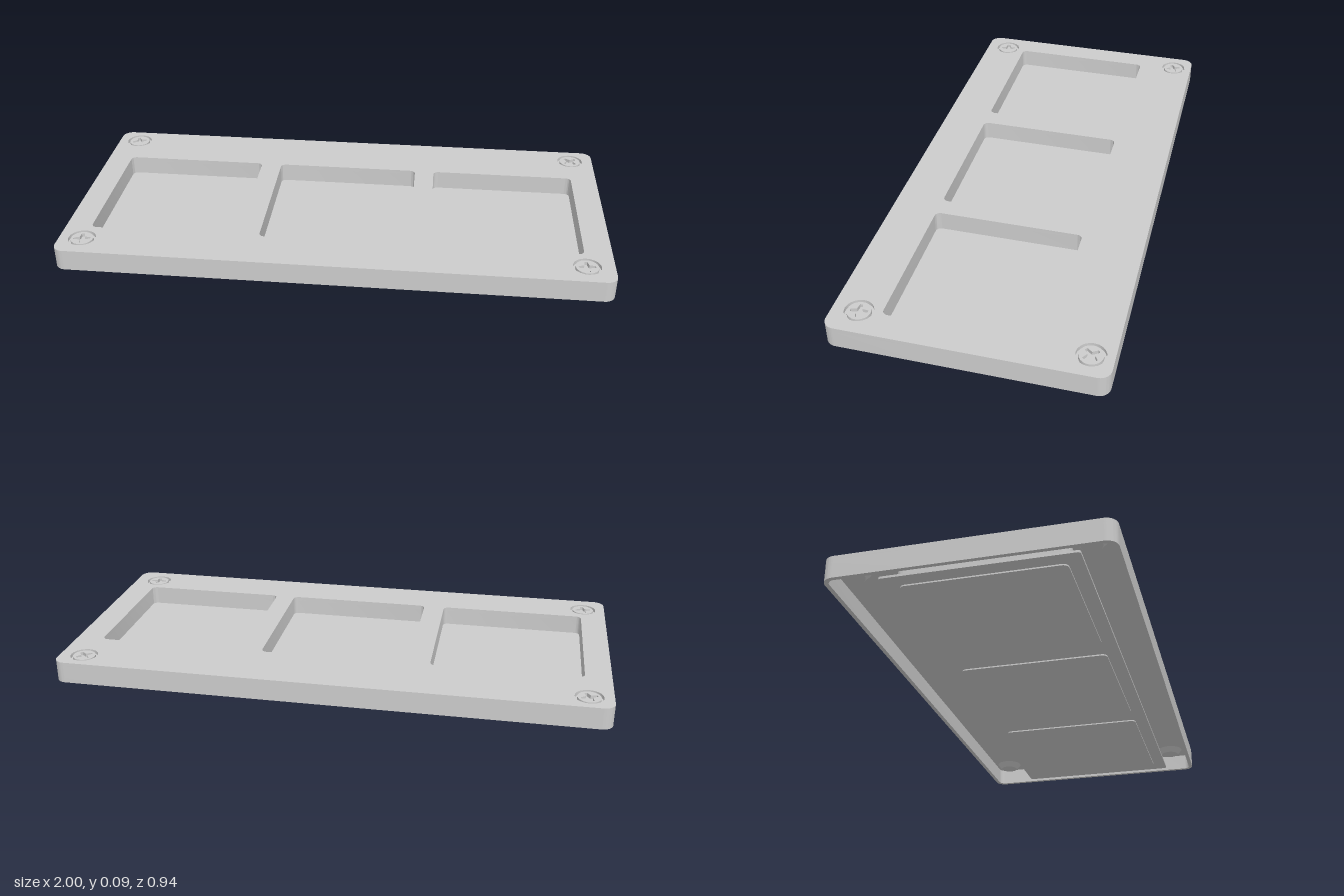
import * as THREE from 'three';
import { toCreasedNormals } from 'three/addons/utils/BufferGeometryUtils.js';

const TOP = 0.085, UNDER = 0.07, RIM = 0.005, FLOOR = 0.013;
const PLAN_Z = 0.472;
const POCKET = 0.55, POCKET_Z = 0.028;
const pocketXs = [-0.63, 0, 0.625];
// screw positions in plan, with the turn of each cross slot
const screws = [[-0.915, -0.395, 0.4], [0.91, -0.395, 0.75], [-0.915, 0.38, 0.15], [0.902, 0.38, 0.1]];

// rounded rectangle in plan; shape y is -z
function roundedRect(w, d, r, x = 0, z = 0, Type = THREE.Shape) {
  const s = new Type(), a = w / 2 - r, b = d / 2 - r, y = -z, h = Math.PI / 2;
  s.moveTo(x + w / 2, y - b);
  s.absarc(x + a, y + b, r, 0, h);
  s.absarc(x - a, y + b, r, h, 2 * h);
  s.absarc(x - a, y - b, r, 2 * h, 3 * h);
  s.absarc(x + a, y - b, r, 3 * h, 4 * h);
  s.closePath();
  return s;
}

function circle(r, x = 0, z = 0, Type = THREE.Path) {
  const s = new Type();
  s.absarc(x, -z, r, 0, Math.PI * 2);
  return s;
}

// upright slab of a plan shape between two heights
function slab(shape, y0, y1) {
  const g = new THREE.ExtrudeGeometry(shape, { depth: y1 - y0, bevelEnabled: false, curveSegments: 10 });
  g.rotateX(-Math.PI / 2).translate(0, y0, 0);
  return toCreasedNormals(g, 0.6);
}

// four-armed slot outline with slightly tapered arms
function crossPath() {
  const pts = [];
  for (let i = 0; i < 4; i++) {
    for (const [u, v] of [[0.009, -0.009], [0.03, -0.005], [0.03, 0.005]]) {
      const c = Math.cos(i * Math.PI / 2), s = Math.sin(i * Math.PI / 2);
      pts.push(new THREE.Vector2(u * c - v * s, u * s + v * c));
    }
  }
  return new THREE.Path(pts);
}

export function createModel() {
  const group = new THREE.Group();
  const grey = new THREE.MeshStandardMaterial({ color: 0xcccccc });
  grey.name = 'light grey';
  const add = (name, geometry, parent = group) => {
    const m = new THREE.Mesh(geometry, grey);
    m.name = name;
    parent.add(m);
    return m;
  };

  // top panel with pocket openings and screw holes
  const top = roundedRect(2, PLAN_Z * 2, 0.04);
  pocketXs.forEach(x => top.holes.push(roundedRect(POCKET, POCKET, 0.02, x, POCKET_Z, THREE.Path)));
  screws.forEach(([x, z]) => top.holes.push(circle(0.05, x, z)));
  add('topPanel', slab(top, UNDER, TOP));

  // hollow outer wall
  const wall = roundedRect(2, PLAN_Z * 2, 0.04);
  wall.holes.push(roundedRect(1.97, PLAN_Z * 2 - 0.03, 0.025, 0, 0, THREE.Path));
  add('outerWall', slab(wall, RIM, UNDER));

  // backing plate under all pockets
  add('backingPlate', slab(roundedRect(1.915, 0.65, 0.01, 0, POCKET_Z), RIM, FLOOR));

  // pocket walls and the raised tile beneath each pocket
  for (const x of pocketXs) {
    const ring = roundedRect(POCKET + 0.02, POCKET + 0.02, 0.03, x, POCKET_Z);
    ring.holes.push(roundedRect(POCKET, POCKET, 0.02, x, POCKET_Z, THREE.Path));
    add('pocketWall', slab(ring, FLOOR, UNDER));
    add('pocketTile', slab(roundedRect(POCKET, POCKET, 0.02, x, POCKET_Z), 0, RIM));
  }

  // countersunk cross-head screws
  const head = circle(0.041, 0, 0, THREE.Shape);
  head.holes.push(crossPath());
  const headGeometry = slab(head, UNDER, TOP - 0.001);
  const seatGeometry = new THREE.CylinderGeometry(0.054, 0.035, 0.022, 32).translate(0, UNDER - 0.01, 0);
  for (const [x, z, turn] of screws) {
    const screw = new THREE.Group();
    screw.name = 'screw';
    screw.position.set(x, 0, z);
    screw.rotation.y = turn;
    add('screwHead', headGeometry, screw);
    add('screwSeat', seatGeometry, screw);
    group.add(screw);
  }
  return group;
}
